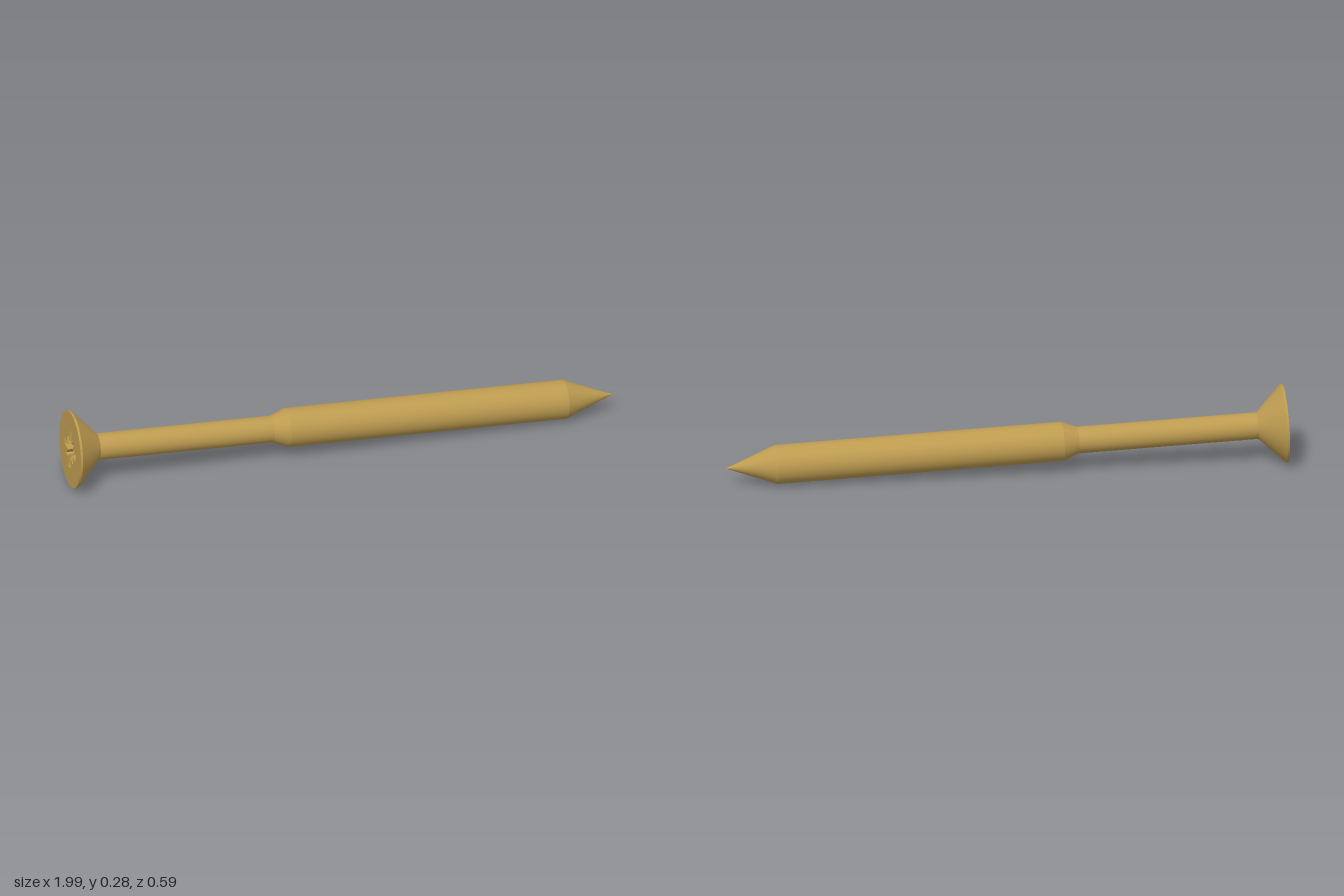
import * as THREE from 'three';

const SEGMENTS = 64;
const HEAD_R = 0.14;

const brass = new THREE.MeshStandardMaterial({ color: 0xbd9b50 });
brass.name = 'brass';

// Cross outline with small diagonal notches, counter-clockwise
function recessOutline(scale = 1) {
  const quarter = [
    [0.072, -0.014], [0.072, 0.014], [0.026, 0.014],
    [0.043, 0.034], [0.034, 0.043], [0.014, 0.026],
  ];
  const points = [];
  for (let k = 0; k < 4; k++) {
    for (const [x, y] of quarter) {
      points.push(new THREE.Vector2(x * scale, y * scale)
        .rotateAround(new THREE.Vector2(), k * Math.PI / 2));
    }
  }
  return points;
}

// Tapered walls joining two outlines, facing into the recess
function recessWalls(outer, inner, depth) {
  const positions = [];
  outer.forEach((a, i) => {
    const j = (i + 1) % outer.length;
    const b = outer[j], c = inner[j], d = inner[i];
    positions.push(a.x, 0, a.y, b.x, 0, b.y, c.x, depth, c.y);
    positions.push(a.x, 0, a.y, c.x, depth, c.y, d.x, depth, d.y);
  });
  const geometry = new THREE.BufferGeometry();
  geometry.setAttribute('position', new THREE.Float32BufferAttribute(positions, 3));
  geometry.computeVertexNormals();
  return geometry;
}

export function createModel() {
  const screw = new THREE.Group();
  screw.name = 'screw';
  const add = (name, geometry) => {
    const mesh = new THREE.Mesh(geometry, brass);
    mesh.name = name;
    screw.add(mesh);
  };

  // Turned sections: [name, start, start radius, end, end radius]
  const sections = [
    ['headRim', 0, HEAD_R, 0.008, HEAD_R],
    ['headCone', 0.008, HEAD_R, 0.1, 0.048],
    ['shank', 0.1, 0.048, 0.745, 0.048],
    ['shoulder', 0.745, 0.048, 0.8, 0.07],
    ['body', 0.8, 0.07, 1.83, 0.07],
    ['tip', 1.83, 0.07, 2.01, 0],
  ];
  for (const [name, y0, r0, y1, r1] of sections) {
    add(name, new THREE.LatheGeometry(
      [new THREE.Vector2(r0, y0), new THREE.Vector2(r1, y1)], SEGMENTS));
  }

  // Flat head face with the driver recess cut into it
  const depth = 0.06;
  const outer = recessOutline(), inner = recessOutline(0.65);
  const face = new THREE.Shape().absarc(0, 0, HEAD_R, 0, Math.PI * 2);
  face.holes.push(new THREE.Path(outer));
  add('headFace', new THREE.ShapeGeometry(face, SEGMENTS).rotateX(Math.PI / 2));
  add('recessWalls', recessWalls(outer, inner, depth));
  add('recessFloor', new THREE.ShapeGeometry(new THREE.Shape(inner))
    .rotateX(Math.PI / 2).translate(0, depth, 0));

  // Lay the screw along its axis, from head to tip
  const head = new THREE.Vector3(-0.97, 0.143, -0.157);
  const axis = new THREE.Vector3(0.995, 0.069, 0.261).sub(head).normalize();
  const up = new THREE.Vector3(0, 1, 0).addScaledVector(axis, -axis.y).normalize();
  const side = new THREE.Vector3().crossVectors(up, axis);
  screw.quaternion.setFromRotationMatrix(new THREE.Matrix4().makeBasis(up, axis, side));
  screw.position.copy(head);

  const model = new THREE.Group();
  model.add(screw);
  return model;
}
